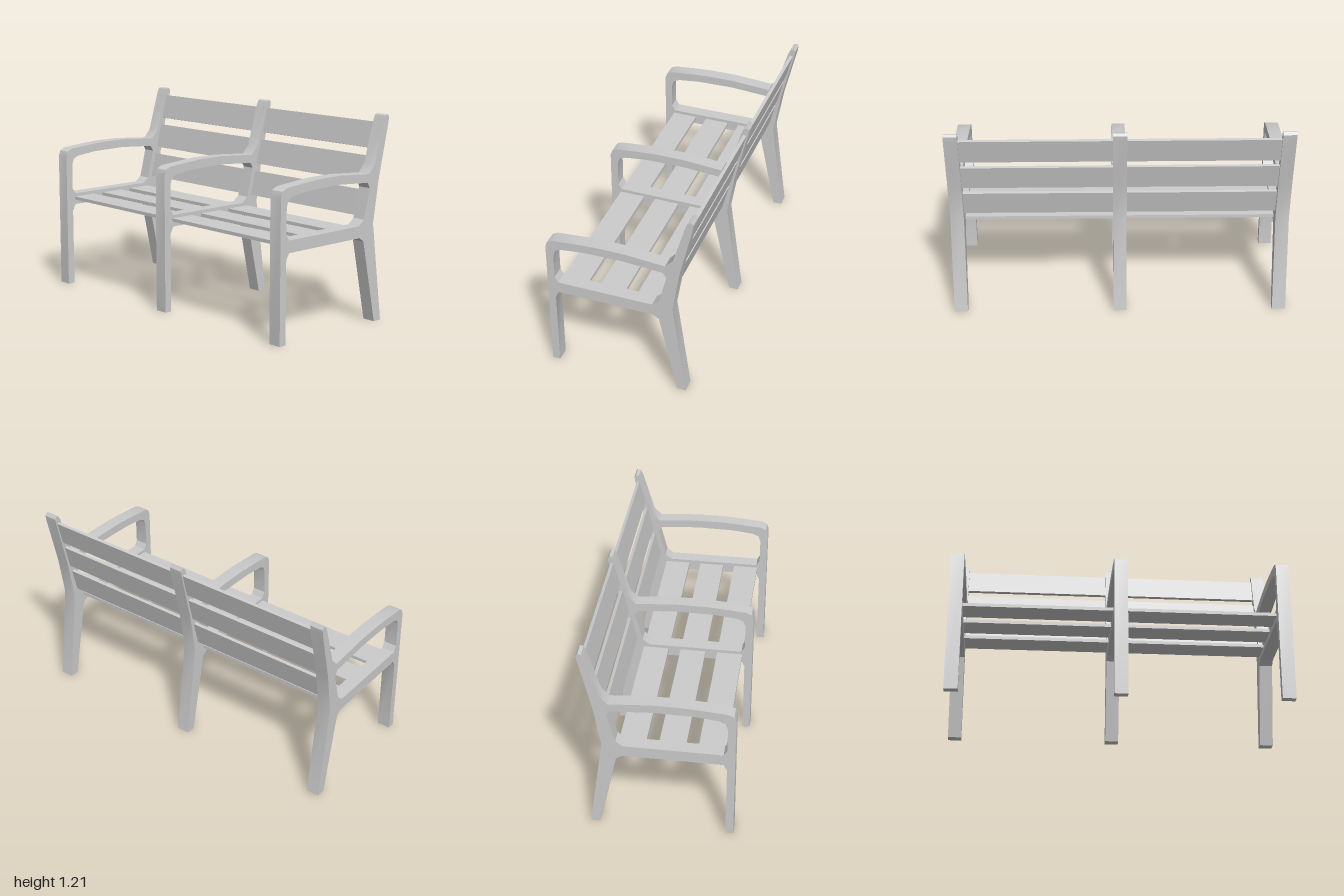
import * as THREE from 'three';
import { toCreasedNormals } from 'three/addons/utils/BufferGeometryUtils.js';

const material = new THREE.MeshStandardMaterial({ color: 0xcccccc });
const FRAME_WIDTH = 0.08;
const points = (list) => list.map(([x, y]) => new THREE.Vector2(x, y));

// Side profile of one frame; first coordinate runs from front (-) to back (+)
function frameGeometry() {
  const outline = new THREE.Shape(points([
    // front leg, underside of the seat rail
    [-0.435, 0], [-0.39, 0], [-0.39, 0.475], [-0.37, 0.515], [0.2, 0.515], [0.235, 0.49],
    // back leg and back post
    [0.34, 0], [0.395, 0], [0.315, 0.585], [0.357, 0.845], [0.43, 1.16],
    [0.434, 1.19], [0.424, 1.205], [0.405, 1.2], [0.389, 1.165],
    // front of the post and top of the armrest
    [0.318, 0.925], [0.273, 0.877], [0.03, 0.895], [-0.14, 0.895], [-0.22, 0.89],
    [-0.39, 0.876], [-0.423, 0.86], [-0.435, 0.828],
  ]));
  // opening below the armrest
  outline.holes.push(new THREE.Path(points([
    [-0.39, 0.62], [-0.37, 0.585], [0.195, 0.585], [0.235, 0.618], [0.28, 0.795],
    [0.262, 0.828], [0.02, 0.845], [-0.21, 0.841], [-0.34, 0.826], [-0.376, 0.81], [-0.39, 0.77],
  ])));
  const geometry = new THREE.ExtrudeGeometry(outline, { depth: FRAME_WIDTH, bevelEnabled: false });
  geometry.translate(0, 0, -FRAME_WIDTH / 2).rotateY(Math.PI / 2);
  return toCreasedNormals(geometry, 0.5);
}

export function createModel() {
  const bench = new THREE.Group();
  bench.name = 'bench';

  const add = (name, geometry, x, y, z, tilt = 0) => {
    const mesh = new THREE.Mesh(geometry, material);
    mesh.name = name;
    mesh.position.set(x, y, z);
    mesh.rotation.x = tilt;
    bench.add(mesh);
  };

  // Three identical frames: legs, armrest and back post in one piece
  const frame = frameGeometry();
  [['rightFrame', -0.96], ['middleFrame', 0], ['leftFrame', 0.96]]
    .forEach(([name, x]) => add(name, frame, x, 0, 0));

  // Slats fill the two bays between the frames
  const seatSlat = new THREE.BoxGeometry(0.88, 0.02, 0.153);
  const backSlat = new THREE.BoxGeometry(0.88, 0.152, 0.019);
  for (const [side, x] of [['right', -0.48], ['left', 0.48]]) {
    for (const z of [-0.152, 0.074, 0.298]) add(side + 'SeatSlat', seatSlat, x, 0.555, z);
    for (const [y, z] of [[0.698, -0.295], [0.89, -0.343], [1.082, -0.392]]) {
      add(side + 'BackSlat', backSlat, x, y, z, -0.24);
    }
  }
  return bench;
}
